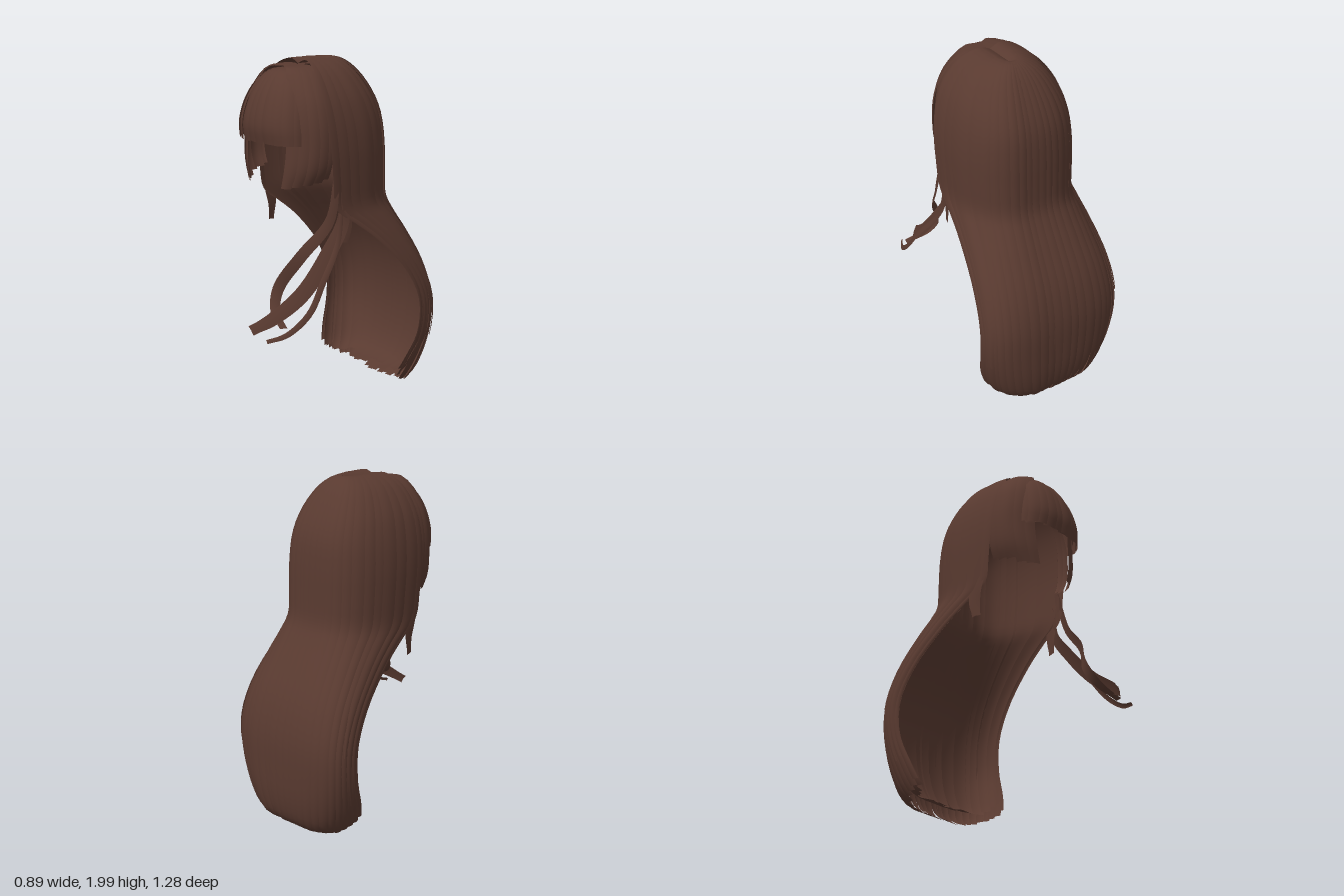
import * as THREE from 'three';

const hair = new THREE.MeshStandardMaterial({ color: 0x593a30, side: THREE.DoubleSide });
hair.name = 'dark brown hair';

let seed = 7;
const rand = () => (seed = (seed * 16807) % 2147483647) / 2147483647;
const rad = Math.PI / 180;

// Each row is [y, half width, z at the middle of the arc, z at its sides].
const upperRows = [
  [1.965, -0.012, -0.05, 0.13], [1.995, 0.07, -0.12, 0.13], [1.945, 0.185, -0.2, 0.16],
  [1.82, 0.28, -0.29, 0.18], [1.68, 0.328, -0.35, 0.18], [1.52, 0.348, -0.37, 0.17],
  [1.35, 0.348, -0.375, 0.155], [1.2, 0.345, -0.385, 0.13], [1.1, 0.36, -0.43, 0],
  [1.0, 0.38, -0.485, -0.13], [0.8, 0.415, -0.585, -0.32], [0.6, 0.435, -0.635, -0.42],
  [0.4, 0.43, -0.64, -0.42],
];
const backRows = [...upperRows,
  [0.2, 0.39, -0.625, -0.35], [0.07, 0.33, -0.58, -0.31], [0, 0.24, -0.46, -0.34]];
// Inner ends curl forward
const innerRows = [...upperRows,
  [0.22, 0.38, -0.6, -0.36], [0.11, 0.33, -0.53, -0.32], [0.07, 0.27, -0.42, -0.32]];
const bangRows = [
  [1.955, -0.012, 0.21, 0.17], [1.94, 0.1, 0.29, 0.2], [1.87, 0.175, 0.36, 0.22],
  [1.77, 0.22, 0.41, 0.24], [1.65, 0.245, 0.435, 0.26], [1.555, 0.25, 0.42, 0.27],
];
const sideRows = [
  [1.965, -0.012, 0.24, 0.1], [1.955, 0.15, 0.29, 0.12], [1.83, 0.265, 0.35, 0.14],
  [1.7, 0.31, 0.37, 0.14], [1.56, 0.322, 0.37, 0.14], [1.42, 0.305, 0.38, 0.14],
  [1.31, 0.25, 0.385, 0.14],
];

// Grid of points turned into a smooth surface
function sheet(name, nu, nv, pointAt) {
  const pos = [], index = [];
  for (let j = 0; j <= nv; j++) {
    for (let i = 0; i <= nu; i++) {
      pos.push(...pointAt(i / nu * 2 - 1, j / nv).toArray());
      if (i < nu && j < nv) {
        const a = j * (nu + 1) + i, b = a + nu + 1;
        index.push(a, b, a + 1, a + 1, b, b + 1);
      }
    }
  }
  const geo = new THREE.BufferGeometry();
  geo.setAttribute('position', new THREE.Float32BufferAttribute(pos, 3));
  geo.setIndex(index);
  geo.computeVertexNormals();
  const mesh = new THREE.Mesh(geo, hair);
  mesh.name = name;
  return mesh;
}

// Path of one hair line at angle a through the rows, pushed outward by lift.
// Sections are rounded squares, squarer at the back.
function hairLine(rows, a, lift) {
  const n = rows[0][2] < 0 ? 3 : 2.4;
  const sin = Math.sin(a), cos = Math.max(Math.cos(a), 0);
  const r = Math.pow(Math.abs(sin) ** n + cos ** n, -1 / n);
  return new THREE.CatmullRomCurve3(rows.map(([y, w, zm, zs], i) => {
    const out = lift * Math.min(1, i / 3);
    return new THREE.Vector3(sin * (w * r + out), y,
      zs + cos * ((zm - zs) * r + Math.sign(zm - zs) * out));
  }));
}

// A lock: a strip of the row surface, tilted like a shingle, narrower at its tip
function lock(name, rows, a, halfAngle, lift, length, steps, tip) {
  const nu = 4, lines = [];
  for (let i = 0; i <= nu; i++) {
    const s = i / nu * 2 - 1;
    lines.push(hairLine(rows, a + s * halfAngle, lift + 0.005 * (1 - s * s) + 0.005 * s));
  }
  return sheet(name, nu, steps, (s, t) => {
    const centre = lines[nu / 2].getPoint(t * length);
    const edge = lines[Math.round((s + 1) / 2 * nu)].getPoint(t * length);
    const narrow = 1 - (1 - tip) * THREE.MathUtils.smoothstep(t, 0.85, 1);
    return centre.lerp(edge, narrow);
  });
}

// A row of locks between two angles in degrees
function layer(name, rows, from, to, count, o) {
  const group = new THREE.Group();
  group.name = name;
  const step = (to - from) / count * rad;
  for (let i = 0; i < count; i++) {
    const a = from * rad + step * (i + 0.5);
    const lift = (o.lift ?? 0) + (rand() - 0.5) * 0.014;
    const length = Math.min(1, o.length(a) - rand() * o.jitter);
    const half = step * (0.6 + rand() * 0.2);
    group.add(lock(name + 'Lock', rows, a, half, lift, length, o.steps, o.tip));
  }
  return group;
}

// A loose ribbon along a path, its flat side turned out and up
function ribbon(name, points, width) {
  const curve = new THREE.CatmullRomCurve3(points.map(p => new THREE.Vector3(...p)));
  const facing = new THREE.Vector3(Math.sign(points[0][0]) * 0.85, 0.5, 0.2);
  return sheet(name, 2, 28, (s, t) => {
    const across = curve.getTangent(t).cross(facing).normalize();
    const w = width * (0.35 + 0.65 * Math.sin(Math.PI * Math.min(0.85, 0.1 + t * 0.8)));
    return curve.getPoint(t).addScaledVector(across, s * w)
      .addScaledVector(facing, 0.004 * (1 - s * s));
  });
}

export function createModel() {
  const model = new THREE.Group();
  model.name = 'longHair';

  // Long back hair: outer locks and an inner layer
  const backLength = a => 1 - 0.09 * Math.pow(Math.abs(a) / (Math.PI / 2), 2);
  model.add(layer('backHair', backRows, -90, 90, 26,
    { length: backLength, jitter: 0.02, steps: 48, tip: 0.85 }));
  model.add(layer('innerBackHair', innerRows, -84, 84, 13,
    { lift: -0.014, length: a => backLength(a) + 0.02, jitter: 0.05, steps: 44, tip: 0.85 }));

  // Blunt fringe with a thin layer beneath
  model.add(layer('fringe', bangRows, -90, 90, 12,
    { length: () => 1, jitter: 0.012, steps: 18, tip: 0.92 }));
  model.add(layer('underFringe', bangRows, -75, 75, 6,
    { lift: -0.02, length: () => 1, jitter: 0.05, steps: 18, tip: 0.9 }));

  for (const side of [1, -1]) {
    const word = side > 0 ? 'left' : 'right';
    const span = (near, far) => (side > 0 ? [near, far] : [-far, -near]);
    // Face framing locks beside the fringe, longest toward the face
    model.add(layer(word + 'SideHair', sideRows, ...span(32, 92), 5,
      { length: a => 1.02 - 0.1 * (Math.abs(a) / rad - 32) / 60, jitter: 0.02, steps: 20, tip: 0.9 }));
    // Shorter loose locks over the sides of the back hair
    model.add(layer(word + 'LooseHair', backRows, ...span(60, 84), 3,
      { lift: 0.01, length: () => 0.86, jitter: 0.12, steps: 40, tip: 0.3 }));
    // Short lock hanging by the neck
    model.add(ribbon('neckLock', [
      [side * 0.335, 1.55, 0.12], [side * 0.34, 1.3, 0.1],
      [side * 0.345, 1.12, 0.06], [side * 0.34, 1.0, 0.07]], 0.04));
  }

  // Loose wisps blown forward on the left
  model.add(ribbon('curledWisp', [[0.335, 1.38, 0.12], [0.345, 1.14, 0.18], [0.28, 0.95, 0.33],
    [0.195, 0.77, 0.42], [0.24, 0.66, 0.48], [0.37, 0.6, 0.52]], 0.034));
  model.add(ribbon('broadWisp', [[0.335, 1.4, 0.1], [0.345, 1.14, 0.08], [0.35, 0.95, 0.2],
    [0.345, 0.76, 0.37], [0.3, 0.64, 0.54], [0.22, 0.57, 0.63]], 0.045));
  model.add(ribbon('thinWisp', [[0.335, 1.3, 0.08], [0.36, 1.02, 0.13], [0.41, 0.82, 0.28],
    [0.43, 0.67, 0.39], [0.4, 0.57, 0.52], [0.35, 0.54, 0.62]], 0.018));

  return model;
}
